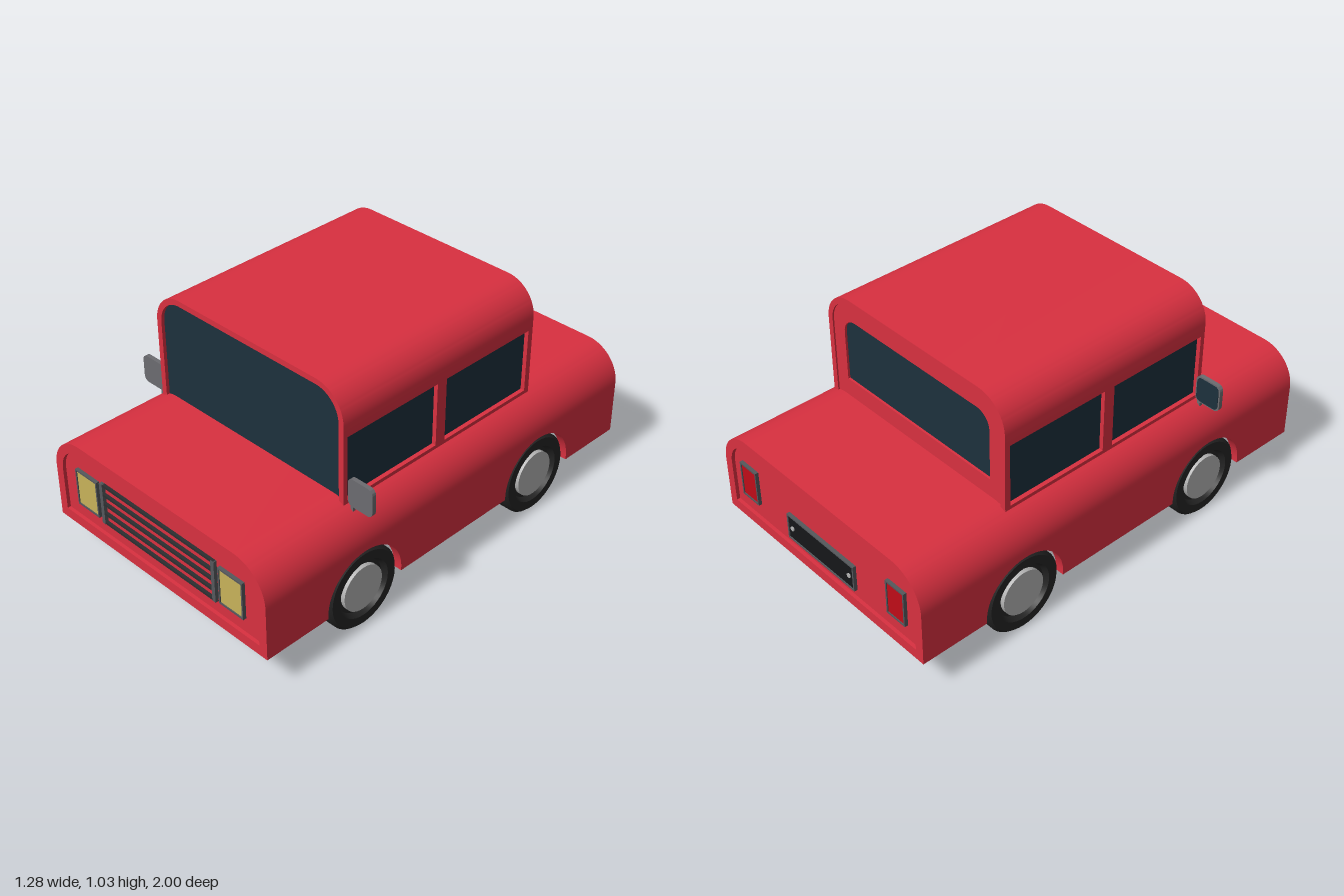
import * as THREE from 'three';
import { toCreasedNormals } from 'three/addons/utils/BufferGeometryUtils.js';

const paint = (color) => new THREE.MeshStandardMaterial({ color });
const RED = paint(0xd93040), GLASS = paint(0x1c303c), TYRE = paint(0x242424), HUB = paint(0xb4b4b4);
const TRIM = paint(0x55585c), DARK = paint(0x2c2e30), YELLOW = paint(0xc8b25a), TAIL = paint(0xc00c18);
const MIRROR = paint(0x6c6c70), PLATE = paint(0x151719);

export function createModel() {
  const car = new THREE.Group();
  car.name = 'car';

  const add = (name, geometry, material, x = 0, y = 0, z = 0, parent = car) => {
    const mesh = new THREE.Mesh(geometry, material);
    mesh.name = name;
    mesh.position.set(x, y, z);
    parent.add(mesh);
    return mesh;
  };
  // Box given by its limits
  const box = (name, material, x0, x1, y0, y1, z0, z1) =>
    add(name, new THREE.BoxGeometry(x1 - x0, y1 - y0, z1 - z0), material, (x0 + x1) / 2, (y0 + y1) / 2, (z0 + z1) / 2);
  const extrude = (shape, depth) =>
    toCreasedNormals(new THREE.ExtrudeGeometry(shape, { depth, bevelEnabled: false, curveSegments: 12 }), 0.5);
  // Outline with square bottom corners and round top corners
  const trace = (path, w, y0, y1, r) => path.moveTo(-w, y0).lineTo(w, y0).lineTo(w, y1 - r)
    .absarc(w - r, y1 - r, r, 0, Math.PI / 2, false)
    .absarc(r - w, y1 - r, r, Math.PI / 2, Math.PI, false).lineTo(-w, y0);
  const domed = (w, y0, y1, r) => trace(new THREE.Shape(), w, y0, y1, r);
  // Arched roof section of wall thickness t
  const archedShell = (w, y0, y1, r, t) => {
    const s = new THREE.Shape();
    s.moveTo(w - t, y0).lineTo(w, y0).lineTo(w, y1 - r);
    s.absarc(w - r, y1 - r, r, 0, Math.PI / 2, false);
    s.absarc(r - w, y1 - r, r, Math.PI / 2, Math.PI, false);
    s.lineTo(-w, y0).lineTo(t - w, y0).lineTo(t - w, y1 - r);
    s.absarc(r - w, y1 - r, r - t, Math.PI, Math.PI / 2, true);
    s.absarc(w - r, y1 - r, r - t, Math.PI / 2, 0, true);
    s.lineTo(w - t, y0);
    return s;
  };
  const rect = (path, x0, x1, y0, y1) =>
    path.moveTo(x0, y0).lineTo(x1, y0).lineTo(x1, y1).lineTo(x0, y1).lineTo(x0, y0);
  // Pair of side panels drawn in (z, y), with outer faces at x = +-w
  const sidePanels = (name, shape, w, t) => {
    const geometry = extrude(shape, t).rotateY(-Math.PI / 2);
    add(name, geometry, RED, w);
    add(name, geometry, RED, t - w);
  };

  // Lower body: hollow shell, side panels with wheel arches, recessed ends
  add('bodyTop', extrude(archedShell(0.6, 0.385, 0.555, 0.16, 0.04), 2), RED, 0, 0, -1);
  const side = new THREE.Shape().moveTo(-1, 0.155);
  const a = Math.asin(0.015 / 0.195);
  for (const z of [-0.5, 0.5]) side.absarc(z, 0.17, 0.195, Math.PI + a, -a, true);
  side.lineTo(1, 0.155).lineTo(1, 0.385).lineTo(-1, 0.385).lineTo(-1, 0.155);
  sidePanels('bodySide', side, 0.6, 0.04);
  const endPanel = extrude(domed(0.562, 0.165, 0.517, 0.122), 0.02);
  add('frontPanel', endPanel, RED, 0, 0, 0.965);
  add('rearPanel', endPanel, RED, 0, 0, -0.985);
  box('frontSill', RED, -0.56, 0.56, 0.155, 0.2, 0.965, 1);
  box('rearSill', RED, -0.56, 0.56, 0.155, 0.2, -1, -0.965);

  // Cabin: roof shell and window frames
  add('roof', extrude(archedShell(0.51, 0.85, 1.03, 0.14, 0.025), 1.045), RED, 0, 0, -0.52);
  const door = rect(new THREE.Shape(), -0.52, 0.525, 0.535, 0.85);
  for (const [z0, z1] of [[0.03, 0.505], [-0.495, -0.02]])
    door.holes.push(rect(new THREE.Path(), z0, z1, 0.555, 0.835));
  sidePanels('cabinSide', door, 0.51, 0.025);
  for (const s of [-1, 1]) {
    box('sideWindow', GLASS, s * 0.4875 - 0.004, s * 0.4875 + 0.004, 0.54, 0.85, 0.02, 0.505);
    box('sideWindow', GLASS, s * 0.4875 - 0.004, s * 0.4875 + 0.004, 0.54, 0.85, -0.5, -0.01);
  }
  add('windshield', extrude(domed(0.486, 0.54, 1.006, 0.116), 0.01), GLASS, 0, 0, 0.5);
  const back = domed(0.486, 0.54, 1.006, 0.116);
  back.holes.push(trace(new THREE.Path(), 0.42, 0.635, 0.93, 0.07));
  add('cabinBack', extrude(back, 0.02), RED, 0, 0, -0.513);
  add('rearWindow', extrude(domed(0.43, 0.62, 0.94, 0.08), 0.008), GLASS, 0, 0, -0.503);

  // Grille
  for (const y of [0.262, 0.307, 0.353, 0.397, 0.442])
    box('grilleBar', DARK, -0.325, 0.325, y - 0.005, y + 0.005, 0.96, 0.998);
  for (const s of [-1, 1])
    box('grillePost', TRIM, s * 0.32 - 0.009, s * 0.32 + 0.009, 0.257, 0.447, 0.96, 1);

  // Lamps: a lens in a thin frame
  const lamp = (name, color, x, y, w, h, z) => {
    const frame = rect(new THREE.Shape(), -w, w, -h, h);
    frame.holes.push(rect(new THREE.Path(), 0.007 - w, w - 0.007, 0.007 - h, h - 0.007));
    add(name + 'Frame', extrude(frame, 0.026), TRIM, x, y, z - 0.013);
    add(name, new THREE.BoxGeometry(2 * w - 0.012, 2 * h - 0.012, 0.018), color, x, y, z);
  };
  for (const s of [-1, 1]) {
    lamp('headlight', YELLOW, s * 0.413, 0.352, 0.065, 0.084, 0.987);
    lamp('taillight', TAIL, s * 0.45, 0.35, 0.052, 0.08, -0.987);
  }

  // Blank number plate with frame and screws
  lamp('numberPlate', PLATE, 0, 0.295, 0.205, 0.06, -0.987);
  for (const s of [-1, 1])
    add('plateScrew', new THREE.CylinderGeometry(0.01, 0.01, 0.006, 12).rotateX(Math.PI / 2), HUB, s * 0.175, 0.295, -0.998);

  // Wheels
  const profile = [[0, -0.068], [0.166, -0.068], [0.178, -0.056], [0.178, 0.056], [0.166, 0.068],
    [0.128, 0.068], [0.115, 0.045], [0, 0.045]].map(([r, y]) => new THREE.Vector2(r, y));
  const tyre = toCreasedNormals(new THREE.LatheGeometry(profile, 40), 0.5);
  const hub = new THREE.CylinderGeometry(0.1, 0.1, 0.04, 32);
  for (const s of [-1, 1]) for (const z of [-0.5, 0.5]) {
    const wheel = new THREE.Group();
    wheel.name = 'wheel';
    wheel.position.set(s * 0.525, 0.178, z);
    wheel.rotation.z = -s * Math.PI / 2;
    add('tyre', tyre, TYRE, 0, 0, 0, wheel);
    add('hub', hub, HUB, 0, 0.044, 0, wheel);
    car.add(wheel);
  }

  // Door mirrors with glass facing the rear
  const plate = (h, r) => {
    const s = new THREE.Shape();
    s.absarc(h - r, h - r, r, 0, Math.PI / 2).absarc(r - h, h - r, r, Math.PI / 2, Math.PI);
    s.absarc(r - h, r - h, r, Math.PI, 1.5 * Math.PI).absarc(h - r, r - h, r, 1.5 * Math.PI, 2 * Math.PI);
    return s;
  };
  for (const s of [-1, 1]) {
    add('mirrorHousing', extrude(plate(0.062, 0.025), 0.018), MIRROR, s * 0.578, 0.603, 0.492);
    add('mirrorGlass', extrude(plate(0.055, 0.02), 0.004), GLASS, s * 0.578, 0.603, 0.489);
    box('mirrorStem', MIRROR, s * 0.534 - 0.007, s * 0.534 + 0.007, 0.51, 0.56, 0.494, 0.508);
  }
  return car;
}
